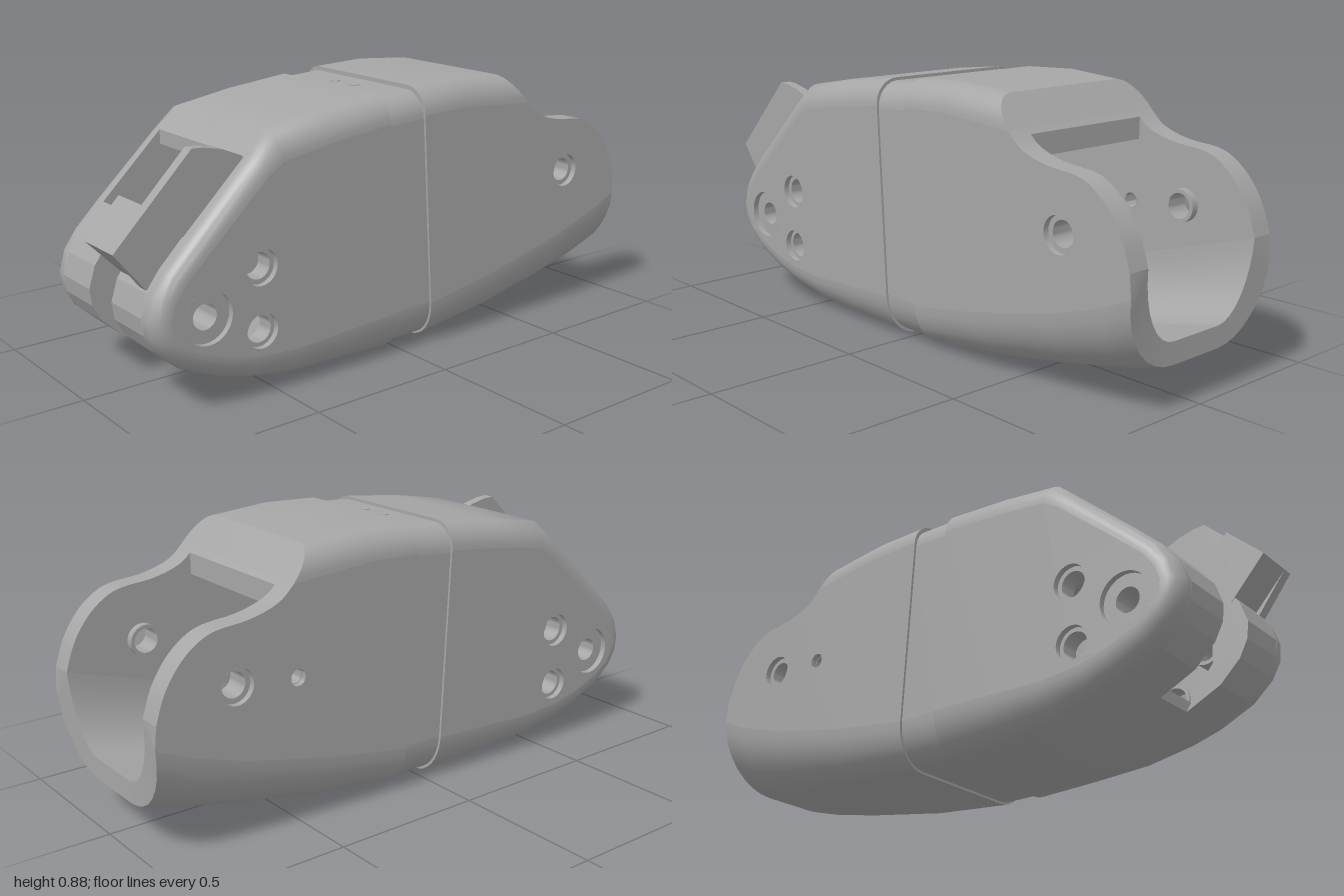
import * as THREE from 'three';
import { toCreasedNormals } from 'three/addons/utils/BufferGeometryUtils.js';

const grey = new THREE.MeshStandardMaterial({ color: 0xa6a6a6, side: THREE.DoubleSide });
grey.name = 'plain grey';

// Outline of the casing, from the roof edge round the nose to the front lip:
// edge x, y, start of the rounding x, y, rounding depth in z, half width
const W = 0.315, B = 0.307, IN = 0.24;
const rows = [
  [0.45, 0.865, 0.53, 0.77, 0.085, W], [0.25, 0.88, 0.25, 0.79, 0.085, W], [0.06, 0.872, 0.065, 0.785, 0.085, W],
  [0.06, 0.858, 0.065, 0.775, 0.08, B], [-0.08, 0.85, -0.075, 0.765, 0.08, B],
  [-0.08, 0.86, -0.075, 0.775, 0.085, W], [-0.3, 0.835, -0.29, 0.75, 0.08, W], [-0.5, 0.8, -0.475, 0.72, 0.075, W],
  [-0.57, 0.732, -0.53, 0.685, 0.06, W], [-0.78, 0.53, -0.742, 0.49, 0.05, W], [-0.86, 0.45, -0.82, 0.415, 0.05, W],
  [-0.905, 0.39, -0.855, 0.365, 0.055, W], [-0.927, 0.32, -0.87, 0.315, 0.06, W], [-0.92, 0.265, -0.865, 0.28, 0.06, W],
  [-0.89, 0.21, -0.84, 0.24, 0.065, W], [-0.82, 0.145, -0.78, 0.2, 0.07, W], [-0.7, 0.09, -0.67, 0.16, 0.07, W],
  [-0.6, 0.055, -0.585, 0.14, 0.09, W], [-0.45, 0.022, -0.44, 0.13, 0.11, W], [-0.25, 0.01, -0.25, 0.14, 0.12, W],
  [-0.03, 0.005, -0.04, 0.15, 0.12, W],
  [-0.03, 0.015, -0.04, 0.15, 0.11, B], [0.115, 0.018, 0.105, 0.155, 0.11, B],
  [0.115, 0.01, 0.105, 0.15, 0.12, W], [0.4, 0.035, 0.395, 0.2, 0.14, W], [0.7, 0.08, 0.7, 0.27, 0.18, W],
  [0.88, 0.115, 0.885, 0.33, 0.2, W], [0.975, 0.14, 0.997, 0.38, 0.215, W],
];
// Floor of the hollow, same layout
const floorRows = [
  [-0.7, 0.13, -0.7, 0.15, 0.1, IN], [-0.45, 0.09, -0.45, 0.15, 0.1, IN], [-0.1, 0.08, -0.1, 0.2, 0.12, IN],
  [0.4, 0.1, 0.4, 0.28, 0.13, IN], [0.7, 0.15, 0.7, 0.36, 0.14, IN], [0.975, 0.21, 0.99, 0.45, 0.14, IN],
];
// Scooped edge of the open end
const cut = new THREE.SplineCurve([[0.53, 0.77], [0.57, 0.733], [0.62, 0.71], [0.69, 0.693], [0.79, 0.683],
  [0.85, 0.66], [0.91, 0.61], [0.96, 0.535], [0.99, 0.45]].map(p => new THREE.Vector2(...p)))
  .getPoints(32).map(p => [p.x, p.y]);

const edge = r => [r[0], r[1]], inset = r => [r[2], r[3]];

// Rounded corner of one row
function arc([x, y, ix, iy, rz, w], s) {
  return Array.from({ length: 9 }, (_, i) => {
    const a = i / 8 * Math.PI / 2, k = Math.sin(a);
    return [ix + (x - ix) * k, iy + (y - iy) * k, s * (w - rz * (1 - Math.cos(a)))];
  });
}

// Surface through lists of points of equal length
function skin(lists) {
  const n = lists[0].length, index = [];
  for (let i = 0; i < lists.length - 1; i++) for (let j = 0; j < n - 1; j++) {
    const a = i * n + j, b = a + n;
    index.push(a, b, a + 1, a + 1, b, b + 1);
  }
  const g = new THREE.BufferGeometry();
  g.setAttribute('position', new THREE.Float32BufferAttribute(lists.flat(2), 3));
  g.setIndex(index);
  return toCreasedNormals(g, 0.6);
}
const across = (pts, z0, z1) => skin([pts.map(p => [...p, z0]), pts.map(p => [...p, z1])]);

function shapeOf(pts, holes = []) {
  const s = new THREE.Shape(pts.map(p => new THREE.Vector2(...p)));
  for (const [x, y, , R] of holes) s.holes.push(new THREE.Path().absarc(x, y, R, 0, Math.PI * 2, true));
  return s;
}
const panel = (pts, z, holes) => new THREE.ShapeGeometry(shapeOf(pts, holes), 24).translate(0, 0, z);
const slab = (pts, z0, z1) =>
  new THREE.ExtrudeGeometry(shapeOf(pts), { depth: z1 - z0, bevelEnabled: false }).translate(0, 0, z0);

export function createModel() {
  const model = new THREE.Group();
  model.name = 'hollowCasing';
  const add = (name, geometry) => {
    const m = new THREE.Mesh(geometry, grey);
    m.name = name;
    model.add(m);
    return m;
  };
  // Flat middle of an outline stretch, outside a central gap
  const middle = (list, gap, s) =>
    skin([list.map(r => [r[0], r[1], s * gap]), list.map(r => [r[0], r[1], s * (r[5] - r[4])])]);

  for (const s of [1, -1]) {
    // holes: x, y, bore radius, counterbore radius, inner end
    const rearHoles = [[-0.75, 0.3, 0.04, 0.082, s > 0 ? 0.12 : 0.2], [-0.565, 0.415, 0.042, 0.057, 0.235], [-0.565, 0.217, 0.042, 0.055, 0.235]];
    const frontHoles = [[0.73, 0.505, 0.04, 0.057, 0.215]];
    if (s < 0) frontHoles.push([0.52, 0.485, 0.024, 0.026, 0.239]);

    // Outer skin
    add('roundedEdges', skin(rows.map(r => arc(r, s))));
    add('roof', middle(rows.slice(0, 9), 0, s));
    add('noseRim', middle(rows.slice(8, 17), IN, s));
    add('underside', middle(rows.slice(16), 0, s));
    add('frontSide', panel([...rows.slice(0, 3), ...rows.slice(23)].map(inset).concat([...cut].reverse()), s * W, frontHoles));
    add('bandSide', panel([rows[3], rows[4], rows[21], rows[22]].map(inset), s * B));
    add('rearSide', panel(rows.slice(5, 21).map(inset), s * W, rearHoles));
    for (const [a, b, c, d] of [[2, 23, 3, 22], [5, 20, 4, 21]]) {
      add('seamStep', skin([
        [[...inset(rows[a]), s * W], [...inset(rows[b]), s * W]],
        [[...inset(rows[c]), s * B], [...inset(rows[d]), s * B]]]));
    }

    // Hollow
    const wall = [[0.545, 0.685], [-0.57, 0.685], [-0.57, 0.732], ...rows.slice(9, 17).map(edge),
      ...floorRows.map(inset), ...[...cut].reverse()];
    add('innerWall', panel(wall, s * IN, [...rearHoles, ...frontHoles]));
    add('innerCorner', skin(floorRows.map(r => arc(r, s))));
    add('innerFloor', middle(floorRows, 0, s));

    // Rim of the open end
    add('sideRim', across(cut, s * IN, s * W));
    const lip = (r, w) => [[0.99, 0.45, s * w], ...arc(r, s), [r[0], r[1], 0]];
    add('frontLip', skin([lip(rows[27], W), lip(floorRows[5], IN)]));

    // Counterbored bushings
    for (const [x, y, r, R, end] of [...rearHoles, ...frontHoles]) {
      const t = Math.min(R, r + 0.012);
      const profile = [[R, W], [R, 0.295], [r, 0.295], [r, end], [t, end], [t, IN], [R, IN]];
      const g = new THREE.LatheGeometry(profile.map(p => new THREE.Vector2(...p)), 32).rotateX(Math.PI / 2);
      const m = add('bushing', toCreasedNormals(g, 0.6));
      m.position.set(x, y, 0);
      m.scale.z = s;
    }

    // Nose lobes either side of the slot
    const lobe = [...rows.slice(9, 17).map(edge), [-0.74, 0.15], [-0.8, 0.22], [-0.81, 0.35]];
    add('noseLobe', s > 0 ? slab(lobe, 0.07, IN) : slab(lobe, -IN, -0.07));
  }

  // Roof end and ceiling
  const end = arc(rows[0], 1);
  add('roofEnd', skin([end, end.map(([x, y, z]) => [x, y, -z])]));
  add('ceiling', across([[0.53, 0.77], [0.545, 0.755], [0.545, 0.685], [-0.57, 0.685], [-0.57, 0.732]], -IN, IN));
  add('floorEnd', across([[-0.7, 0.09], [-0.7, 0.13]], -IN, IN));

  // Hooked arm standing out of the nose
  add('armPlate', slab([[-1, 0.52], [-0.74, 0.78], [-0.7, 0.778], [-0.64, 0.765], [-0.57, 0.735],
    [-0.57, 0.62], [-0.7, 0.53], [-0.8, 0.4], [-0.9, 0.395]], 0.2, 0.236));
  add('armBlock', slab([[-1, 0.52], [-0.885, 0.635], [-0.76, 0.51], [-0.88, 0.395]], 0.068, 0.2));

  // Small marks on the band
  for (const z of [-0.05, 0.05]) {
    add('bandDot', new THREE.CylinderGeometry(0.017, 0.017, 0.006, 20)).position.set(-0.01, 0.853, z);
  }
  return model;
}
